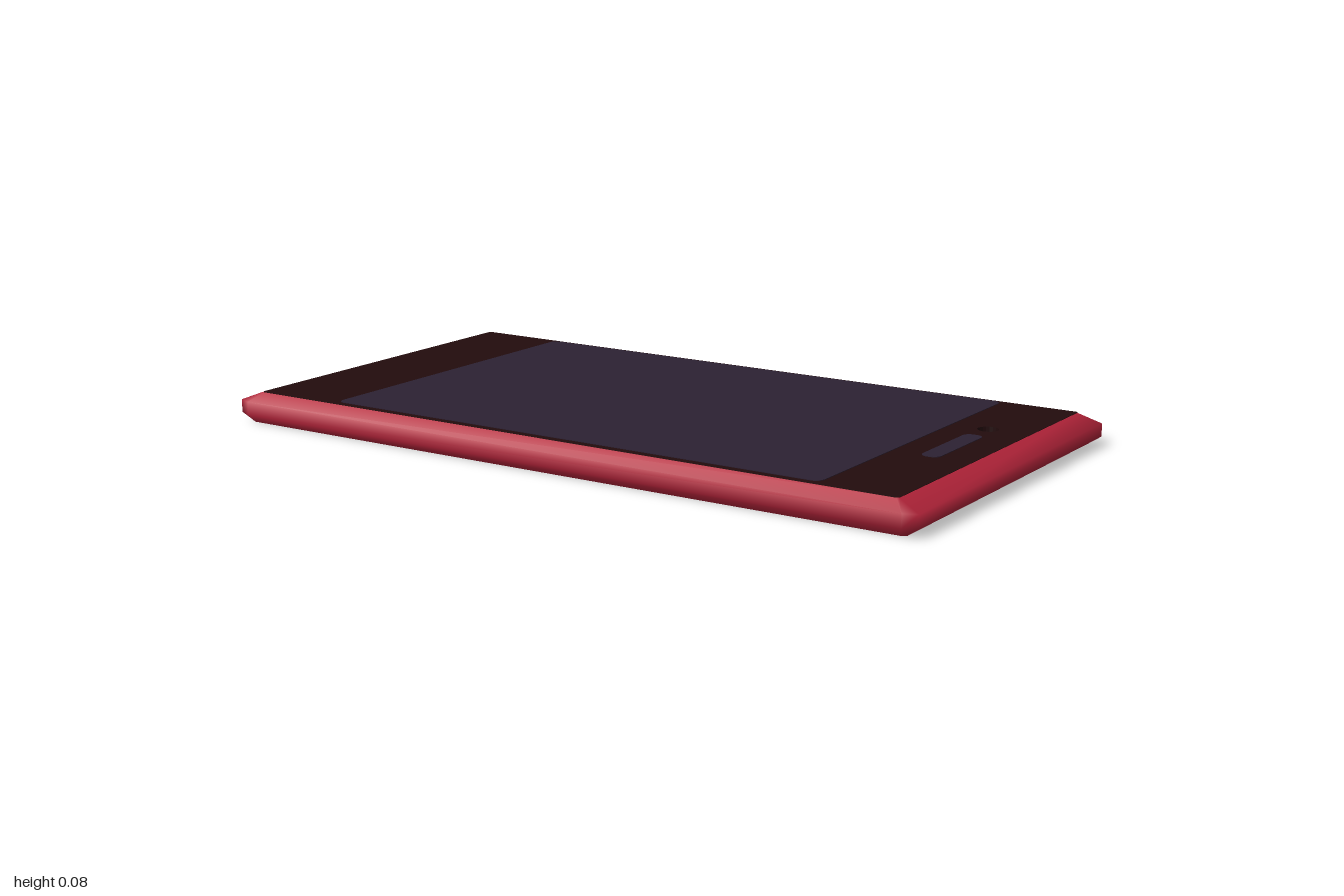
import * as THREE from 'three';

const CZ = 0.01; // the body sits slightly forward because the keys stick out behind

// Rectangle with clipped corners, as [x, z] pairs
function ring(hx, hz, cx, cz) {
  return [
    [hx, hz - cz], [hx - cx, hz], [-hx + cx, hz], [-hx, hz - cz],
    [-hx, -hz + cz], [-hx + cx, -hz], [hx - cx, -hz], [hx, -hz + cz],
  ];
}

function geometryFrom(positions, index) {
  const g = new THREE.BufferGeometry();
  g.setAttribute('position', new THREE.Float32BufferAttribute(positions, 3));
  g.setIndex(index);
  g.computeVertexNormals();
  return g;
}

// Rounded rectangle, drawn with shape y = -z
function roundedRect(x0, x1, z0, z1, r) {
  const s = new THREE.Shape();
  const y0 = -z1, y1 = -z0;
  s.absarc(x1 - r, y0 + r, r, -Math.PI / 2, 0);
  s.absarc(x1 - r, y1 - r, r, 0, Math.PI / 2);
  s.absarc(x0 + r, y1 - r, r, Math.PI / 2, Math.PI);
  s.absarc(x0 + r, y0 + r, r, Math.PI, Math.PI * 1.5);
  s.closePath();
  return s;
}

export function createModel() {
  const model = new THREE.Group();
  model.name = 'phone';

  const red = new THREE.MeshStandardMaterial({ name: 'red casing', color: 0xb4243a });
  const black = new THREE.MeshStandardMaterial({ name: 'black glass', color: 0x220c0d });
  const violet = new THREE.MeshStandardMaterial({ name: 'dark violet display', color: 0x2c2133 });

  const add = (name, geometry, material) => {
    const mesh = new THREE.Mesh(geometry, material);
    mesh.name = name;
    model.add(mesh);
    return mesh;
  };
  // Horizontal slab whose underside lies at y
  const slab = (name, shape, y, depth, material) => {
    const g = new THREE.ExtrudeGeometry(shape, { depth, bevelEnabled: false, curveSegments: 10 });
    g.rotateX(-Math.PI / 2);
    g.translate(0, y, 0);
    return add(name, g, material);
  };

  // Casing wall: smooth bevelled band through four rings
  const levels = [
    [0, ring(0.967, 0.498, 0.012, 0.006)],
    [0.022, ring(1, 0.517, 0.035, 0.016)],
    [0.056, ring(1, 0.517, 0.035, 0.016)],
    [0.08, ring(0.941, 0.485, 0.006, 0.004)],
  ];
  const positions = [], index = [];
  levels.forEach(([y, pts], k) => {
    pts.forEach(([x, z], i) => {
      positions.push(x, y, z + CZ);
      if (k === levels.length - 1) return;
      const a = k * 8 + i, b = k * 8 + (i + 1) % 8;
      index.push(a, a + 8, b, b, a + 8, b + 8);
    });
  });
  add('casing', geometryFrom(positions, index), red);

  // Flat back cover on the underside
  const back = [], backIndex = [];
  levels[0][1].forEach(([x, z], i) => {
    back.push(x, 0, z + CZ);
    if (i > 0 && i < 7) backIndex.push(0, i, i + 1);
  });
  add('backCover', geometryFrom(back, backIndex), red);

  // Front glass with a deep camera well
  const glass = roundedRect(-0.942, 0.94, -0.478, 0.49, 0.004);
  const well = new THREE.Path();
  well.absarc(0.83, 0.185, 0.027, 0, Math.PI * 2, true);
  glass.holes.push(well);
  slab('frontGlass', glass, 0.025, 0.0555, black);

  const lens = new THREE.CircleGeometry(0.028, 24);
  lens.rotateX(-Math.PI / 2);
  add('cameraLens', lens, violet).position.set(0.83, 0.027, -0.185);

  // Display and earpiece inlays
  slab('display', roundedRect(-0.696, 0.733, -0.469, 0.474, 0.022), 0.079, 0.003, violet);
  slab('earpiece', roundedRect(0.807, 0.856, -0.111, 0.139, 0.02), 0.079, 0.003, violet);

  // Side keys along the rear edge
  const keys = [['volumeKeyA', 0.355, 0.468], ['volumeKeyB', 0.484, 0.6], ['powerKey', 0.67, 0.702]];
  for (const [name, x0, x1] of keys) {
    add(name, new THREE.BoxGeometry(x1 - x0, 0.017, 0.04), red)
      .position.set((x0 + x1) / 2, 0.04, -0.507);
  }

  return model;
}
